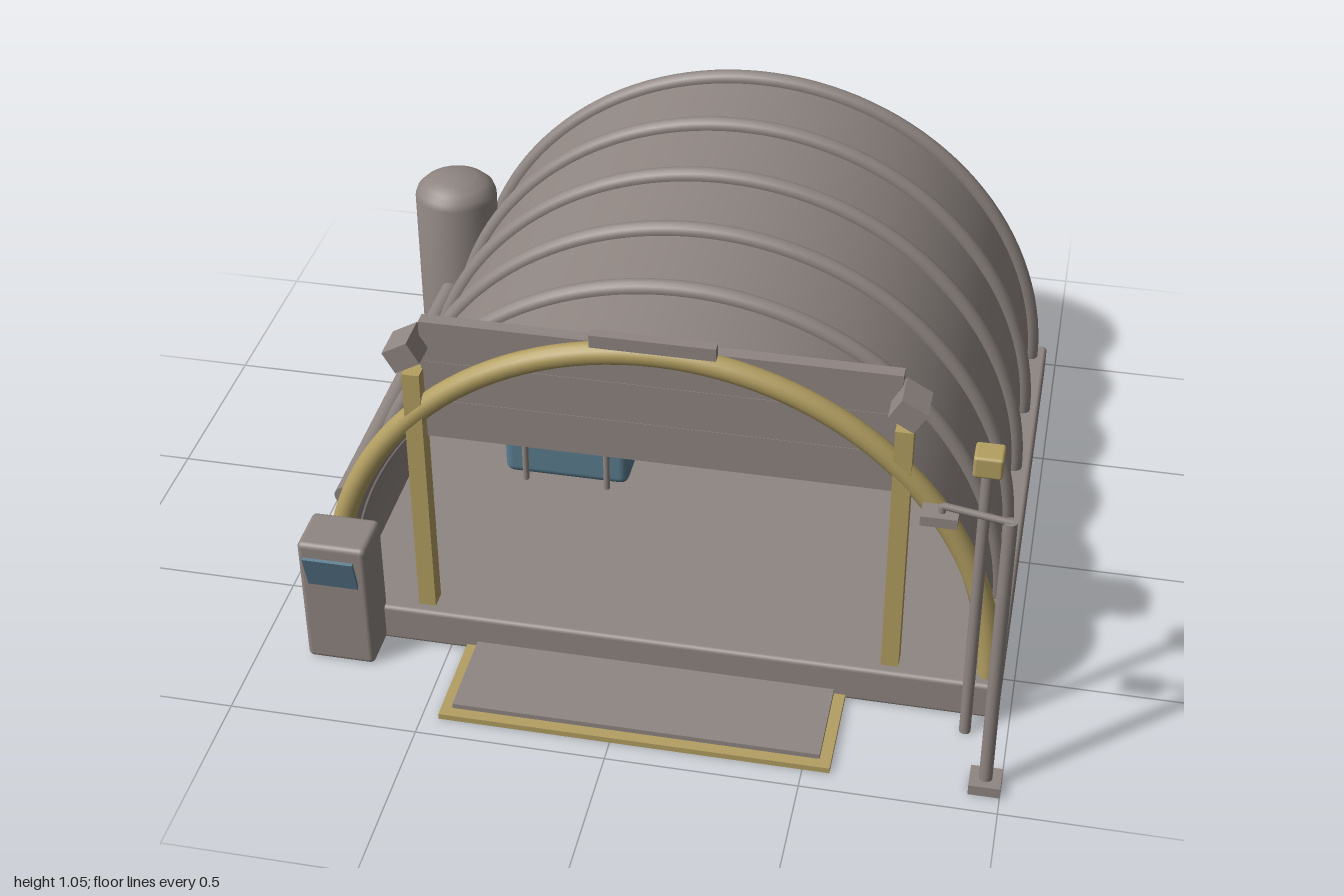
import * as THREE from 'three';
import { toCreasedNormals } from 'three/addons/utils/BufferGeometryUtils.js';
import { RoundedBoxGeometry } from 'three/addons/geometries/RoundedBoxGeometry.js';

export function createModel() {
  const root = new THREE.Group();
  root.name = 'archedGarage';
  const mat = (name, color) => {
    const m = new THREE.MeshStandardMaterial({ color });
    m.name = name;
    return m;
  };
  const grey = mat('warmGrey', 0x8f8682);
  const yellow = mat('ochreYellow', 0xb39f62);
  const blue = mat('slateBlue', 0x5a7c8f);

  const add = (name, geo, material, x = 0, y = 0, z = 0, parent = root) => {
    const m = new THREE.Mesh(geo, material);
    m.name = name;
    m.position.set(x, y, z);
    parent.add(m);
    return m;
  };
  // Box given by its limits on each axis, with optional rounding
  const box = (name, material, [x0, x1], [y0, y1], [z0, z1], r = 0) => {
    const w = x1 - x0, h = y1 - y0, d = z1 - z0;
    const geo = r ? new RoundedBoxGeometry(w, h, d, 3, r) : new THREE.BoxGeometry(w, h, d);
    return add(name, geo, material, (x0 + x1) / 2, (y0 + y1) / 2, (z0 + z1) / 2);
  };
  const rod = (name, material, a, b, r) => {
    const p = new THREE.Vector3(...a), q = new THREE.Vector3(...b), dir = q.clone().sub(p);
    const m = add(name, new THREE.CylinderGeometry(r, r, dir.length(), 20), material);
    m.position.copy(p).add(q).multiplyScalar(0.5);
    m.quaternion.setFromUnitVectors(new THREE.Vector3(0, 1, 0), dir.normalize());
    return m;
  };

  const CX = 0.055, FLOOR = 0.11;

  // Foundation slab
  box('foundation', grey, [-0.855, 0.97], [0, FLOOR], [-0.94, 0.66], 0.012);

  // Vaulted shell with thickness
  const vault = new THREE.Shape();
  vault.absarc(0, 0, 0.86, 0, Math.PI, false);
  vault.absarc(0, 0, 0.835, Math.PI, 0, true);
  const vaultGeo = new THREE.ExtrudeGeometry(vault, { depth: 1.46, bevelEnabled: false, curveSegments: 48 });
  add('vaultShell', toCreasedNormals(vaultGeo, 0.5), grey, CX, FLOOR, -0.89);

  // Closed rear wall
  const wall = new THREE.Shape();
  wall.absarc(0, 0, 0.85, 0, Math.PI, false);
  const wallGeo = new THREE.ExtrudeGeometry(wall, { depth: 0.025, bevelEnabled: false, curveSegments: 48 });
  add('rearWall', toCreasedNormals(wallGeo, 0.5), grey, CX, FLOOR, -0.895);

  // Ribs over the shell and the painted entrance arch
  const arch = (name, material, radius, tube, z) =>
    add(name, new THREE.TorusGeometry(radius, tube, 14, 64, Math.PI), material, CX, FLOOR, z);
  for (let i = 0; i < 6; i++) arch('rib', grey, 0.865, 0.025, -0.88 + i * 0.291);
  arch('entranceArch', yellow, 0.878, 0.03, 0.605);
  box('archCap', grey, [-0.1, 0.215], [1.02, 1.055], [0.62, 0.65]);

  // Raised door slats, posts and floodlights
  for (let i = 0; i < 3; i++) {
    const y = 0.65 + i * 0.1167;
    box('doorSlat', grey, [-0.55, 0.665], [y, y + 0.1157], [0.556, 0.592]);
  }
  for (const s of [-1, 1]) {
    const x = CX + s * 0.623;
    box('doorPost', yellow, [x - 0.023, x + 0.023], [FLOOR, 0.86], [0.58, 0.63]);
    const lamp = add('floodlight', new THREE.BoxGeometry(0.075, 0.065, 0.1), grey, CX + s * 0.632, 0.933, 0.615);
    lamp.rotation.z = -s * 0.52;
  }

  // Entry ramp with painted border
  box('rampBorder', yellow, [-0.455, 0.57], [0, 0.016], [0.655, 0.94]);
  box('rampPlate', grey, [-0.425, 0.54], [0.016, 0.03], [0.655, 0.91]);

  // Control kiosk with tilted screen
  box('kiosk', grey, [-0.865, -0.68], [0, 0.385], [0.63, 0.772], 0.015);
  const screen = add('kioskScreen', new THREE.BoxGeometry(0.135, 0.105, 0.009), blue, -0.773, 0.31, 0.785);
  screen.rotation.x = 0.27;

  // Storage tank with domed top
  const profile = [[0, 0], [0.125, 0], [0.125, 0.515], [0.118, 0.535], [0.097, 0.555], [0.062, 0.57], [0, 0.577]]
    .map(([r, y]) => new THREE.Vector2(r, y));
  add('tank', toCreasedNormals(new THREE.LatheGeometry(profile, 40), 0.7), grey, -0.875, 0, -0.825);
  rod('tankPipe', grey, [-0.875, 0.23, -0.75], [-0.875, 0.23, 0.365], 0.03);

  // Marker post
  rod('markerPole', grey, [0.89, 0, 0.715], [0.89, 0.85, 0.715], 0.015);
  box('markerHead', yellow, [0.855, 0.927], [0.84, 0.9], [0.68, 0.752], 0.008);

  // Lamp post with overhanging arm
  box('lampBase', grey, [0.92, 1.0], [0, 0.03], [0.87, 0.945]);
  rod('lampPole', grey, [0.96, 0.03, 0.908], [0.96, 0.845, 0.908], 0.017);
  rod('lampArm', grey, [0.965, 0.842, 0.908], [0.8, 0.868, 0.908], 0.009);
  rod('lampHanger', grey, [0.8, 0.868, 0.908], [0.8, 0.84, 0.908], 0.009);
  box('lampHead', grey, [0.752, 0.84], [0.823, 0.85], [0.88, 0.935]);

  // Stacked crates with straps
  for (const y of [0.12, 0.353])
    box('crate', blue, [-0.51, -0.15], [y, y + 0.217], [-0.28, 0.03], 0.025);
  for (const x of [-0.447, -0.21])
    rod('crateStrap', grey, [x, FLOOR, 0.034], [x, 0.575, 0.034], 0.009);

  // Cabinets along the rear wall
  for (let i = 0; i < 3; i++) {
    const x = -0.59 + i * 0.324;
    box('cabinet', grey, [x, x + 0.317], [0.12, 0.34], [-0.85, -0.62], 0.008);
  }
  box('cabinetStripe', yellow, [-0.59, 0.375], [0.268, 0.302], [-0.621, -0.613]);
  box('wallUnit', grey, [-0.27, -0.1], [0.355, 0.55], [-0.82, -0.66], 0.015);
  box('wallUnitPanel', yellow, [-0.25, -0.1], [0.485, 0.53], [-0.661, -0.653]);

  // Drum with dark bands
  const drum = [[0, 0], [0.125, 0], [0.125, 0.39], [0.112, 0.39], [0.112, 0.375], [0, 0.375]]
    .map(([r, y]) => new THREE.Vector2(r, y));
  add('drum', toCreasedNormals(new THREE.LatheGeometry(drum, 36), 0.7), yellow, 0.535, FLOOR, -0.35);
  const band = new THREE.CylinderGeometry(0.128, 0.128, 0.018, 36);
  add('drumBand', new THREE.TorusGeometry(0.123, 0.008, 8, 36), grey, 0.535, 0.42, -0.35).rotation.x = Math.PI / 2;
  band.dispose();

  return root;
}
